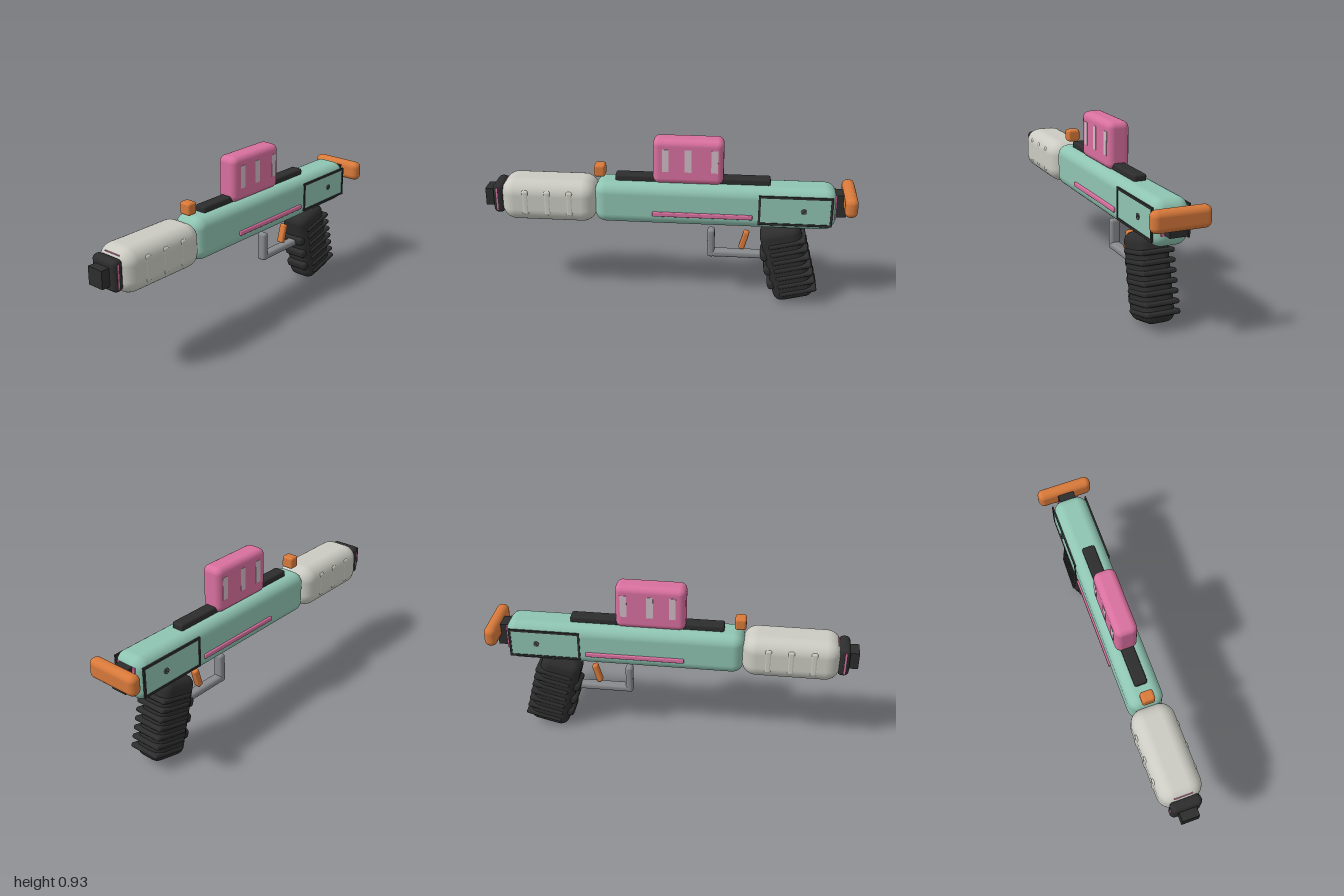
import * as THREE from 'three';
import { RoundedBoxGeometry } from 'three/addons/geometries/RoundedBoxGeometry.js';

const mat = (name, color) => {
  const m = new THREE.MeshStandardMaterial({ color });
  m.name = name;
  return m;
};

export function createModel() {
  const teal = mat('teal', 0x8fc4b2);
  const pink = mat('pink', 0xd9709f);
  const orange = mat('orange', 0xd8793a);
  const black = mat('black', 0x2d2d2d);
  const ivory = mat('ivory', 0xcbcbc3);
  const steel = mat('steel', 0x87898c);
  const pale = mat('pale pink', 0xd0bcc5);
  const screwGrey = mat('dark grey', 0x555856);

  const root = new THREE.Group();
  root.name = 'toyBlaster';

  // Box with size [x, y, z] at pos; r > 0 rounds its edges
  const box = (name, material, size, pos, r = 0, parent = root, seg = 4) => {
    const g = r > 0 ? new RoundedBoxGeometry(...size, seg, r) : new THREE.BoxGeometry(...size);
    const mesh = new THREE.Mesh(g, material);
    mesh.name = name;
    mesh.position.set(...pos);
    parent.add(mesh);
    return mesh;
  };

  // Receiver and fore-end
  box('body', teal, [0.192, 0.235, 1.29], [0, 0.572, -0.25], 0.06);
  box('foreEnd', ivory, [0.236, 0.236, 0.52], [0, 0.57, 0.645], 0.078);
  box('foreEndInlay', pink, [0.1, 0.004, 0.012], [0, 0.659, 0.884], 0);

  // Muzzle
  box('muzzleCollar', black, [0.166, 0.166, 0.06], [0, 0.572, 0.922], 0.025);
  box('muzzleRing', pink, [0.1675, 0.13, 0.008], [0, 0.572, 0.928]);
  box('muzzleTip', black, [0.094, 0.096, 0.08], [0, 0.57, 0.96]);

  // Top rail, front sight and magazine box
  box('topRail', black, [0.07, 0.04, 0.83], [0, 0.702, -0.13], 0.012);
  box('frontSight', orange, [0.07, 0.068, 0.06], [0, 0.737, 0.37], 0.014);
  box('topMagazine', pink, [0.12, 0.25, 0.375], [0, 0.81, -0.107], 0.035);

  // Charging handle at the rear
  box('rearPlate', pink, [0.12, 0.13, 0.008], [0, 0.585, -0.893]);
  box('rearStem', black, [0.09, 0.125, 0.1], [0, 0.588, -0.9]);
  box('rearHandle', orange, [0.306, 0.11, 0.068], [0, 0.62, -0.966], 0.032);

  // Outline frame shared by both side panels
  const outline = new THREE.Shape();
  outline.moveTo(-0.195, -0.083).lineTo(0.195, -0.083).lineTo(0.195, 0.083).lineTo(-0.195, 0.083);
  const hole = new THREE.Path();
  hole.moveTo(-0.183, -0.071).lineTo(-0.183, 0.071).lineTo(0.183, 0.071).lineTo(0.183, -0.071);
  outline.holes.push(hole);
  const frameGeo = new THREE.ExtrudeGeometry(outline, { depth: 0.009, bevelEnabled: false });
  frameGeo.translate(0, 0, -0.0045).rotateY(Math.PI / 2);
  const screwGeo = new THREE.CylinderGeometry(0.016, 0.016, 0.008, 16).rotateZ(Math.PI / 2);

  // Side details, mirrored
  for (const [side, s] of [['left', 1], ['right', -1]]) {
    const frame = new THREE.Mesh(frameGeo, black);
    frame.name = side + 'PanelFrame';
    frame.position.set(s * 0.096, 0.573, -0.68);
    root.add(frame);
    box(side + 'Panel', teal, [0.006, 0.142, 0.366], [s * 0.094, 0.573, -0.68]);

    const screw = new THREE.Mesh(screwGeo, screwGrey);
    screw.name = side + 'Screw';
    screw.position.set(s * 0.097, 0.573, -0.725);
    root.add(screw);
    box(side + 'ScrewSlot', black, [0.002, 0.005, 0.024], [s * 0.1015, 0.573, -0.725]).rotation.x = 0.7;

    box(side + 'Stripe', pink, [0.02, 0.026, 0.535], [s * 0.096, 0.528, -0.188], 0.006);

    [0.012, -0.108, -0.248].forEach(z =>
      box(side + 'MagazineSlot', pale, [0.005, 0.125, 0.036], [s * 0.0595, 0.822, z]));
    [0.765, 0.645, 0.525].forEach(z =>
      box(side + 'ForeEndRib', ivory, [0.034, 0.144, 0.042], [s * 0.103, 0.572, z], 0.015));
  }

  // Raked grip with wrap-around ribs and finger bars
  const grip = new THREE.Group();
  grip.name = 'grip';
  grip.position.set(0, 0.235, -0.655);
  grip.rotation.x = 0.25;
  root.add(grip);
  box('gripCore', black, [0.168, 0.445, 0.225], [0, 0, 0], 0.05, grip, 3);
  for (let i = 0; i < 7; i++)
    box('gripRib', black, [0.184, 0.026, 0.205], [0, 0.13 - i * 0.05, -0.028], 0.011, grip, 2);
  for (let i = 0; i < 3; i++)
    box('fingerBar', black, [0.14, 0.055, 0.05], [0, 0.068 - i * 0.09, 0.108], 0.02, grip);

  // Trigger and its guard
  box('trigger', orange, [0.04, 0.11, 0.032], [0, 0.348, -0.416], 0.01).rotation.x = -0.27;
  box('guardFront', steel, [0.056, 0.168, 0.04], [0, 0.326, -0.235], 0.016);
  box('guardBottom', steel, [0.056, 0.04, 0.32], [0, 0.263, -0.375], 0.016);

  return root;
}
